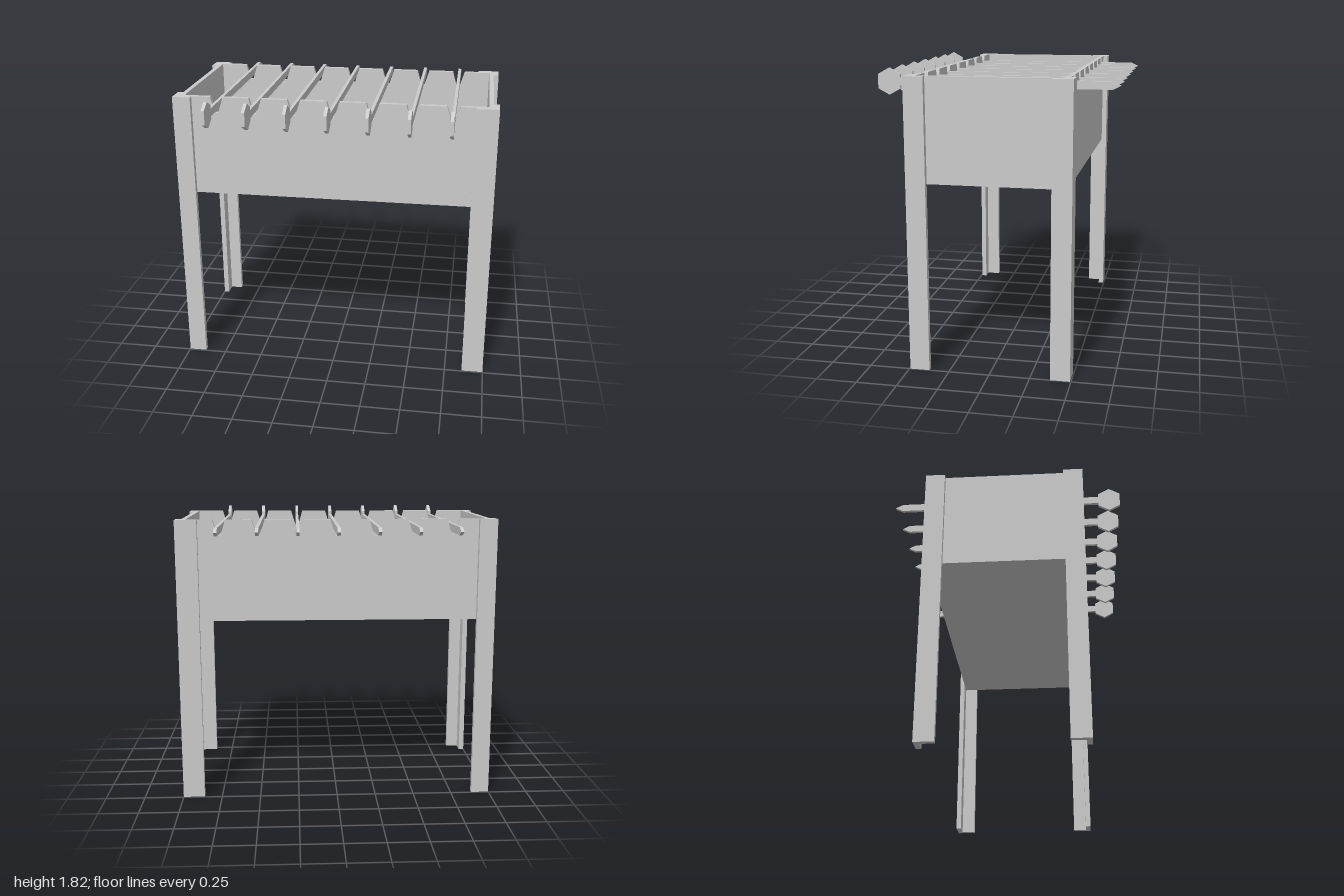
import * as THREE from 'three';

const material = new THREE.MeshStandardMaterial({ color: 0xcccccc, flatShading: true });
const TOP = 1.79, BOTTOM = 1.157;       // fire box height range
const OUT_X = 0.966, OUT_Z = 0.461;     // fire box outer half sizes
const WALL = 0.029;
const COUNT = 7;

function part(name, geometry, x = 0, y = 0, z = 0) {
  const mesh = new THREE.Mesh(geometry, material);
  mesh.name = name;
  mesh.position.set(x, y, z);
  return mesh;
}

function extrude(points, depth) {
  const shape = new THREE.Shape(points.map(([x, y]) => new THREE.Vector2(x, y)));
  return new THREE.ExtrudeGeometry(shape, { depth, bevelEnabled: false });
}

// Long wall with a row of V notches along its top edge
function notchedWall() {
  const points = [[-OUT_X, BOTTOM], [OUT_X, BOTTOM], [OUT_X, TOP]];
  for (let i = COUNT - 1; i >= 0; i--) {
    const x = -0.728 + i * 0.2432;
    points.push([x + 0.04, TOP], [x + 0.009, 1.69], [x - 0.011, 1.69], [x - 0.04, TOP]);
  }
  points.push([-OUT_X, TOP]);
  return extrude(points, WALL);
}

// Angle-iron leg wrapped around one corner of the box
function leg(sx, sz) {
  const innerX = sx > 0 ? 0.863 : 0.887;
  const outline = [
    [1, 0.494], [innerX, 0.494], [innerX, OUT_Z],
    [OUT_X, OUT_Z], [OUT_X, 0.373], [1, 0.373],
  ].map(([x, z]) => [sx * x, -sz * z]);
  return extrude(outline, TOP).rotateX(-Math.PI / 2);
}

// Flat skewer: hexagonal handle at the front, bar, pointed tip at the back
function skewer() {
  const width = 0.02;
  const outline = [
    [-0.733, 1.732], [-0.685, 1.708], [0.594, 1.708], [0.594, 1.69],
    [0.664, 1.652], [0.733, 1.69], [0.733, 1.776], [0.664, 1.815],
    [0.594, 1.776], [0.594, 1.756], [-0.685, 1.756],
  ];
  return extrude(outline, width).rotateY(-Math.PI / 2).translate(width / 2, 0, 0);
}

export function createModel() {
  const model = new THREE.Group();
  model.name = 'charcoalGrill';

  // Fire box
  const box = new THREE.Group();
  box.name = 'fireBox';
  const wall = notchedWall();
  box.add(part('frontWall', wall, 0, 0, OUT_Z - WALL));
  box.add(part('backWall', wall, 0, 0, -OUT_Z));
  const end = new THREE.BoxGeometry(WALL, TOP - BOTTOM, 2 * (OUT_Z - WALL));
  for (const [name, s] of [['leftWall', 1], ['rightWall', -1]]) {
    box.add(part(name, end, s * (OUT_X - WALL / 2), (TOP + BOTTOM) / 2, 0));
  }
  const floor = new THREE.BoxGeometry(2 * (OUT_X - WALL), WALL, 2 * (OUT_Z - WALL));
  box.add(part('floor', floor, 0, BOTTOM + WALL / 2, 0));
  model.add(box);

  // Legs
  for (const [side, sx] of [['Left', 1], ['Right', -1]]) {
    for (const [place, sz] of [['front', 1], ['back', -1]]) {
      model.add(part(`${place}${side}Leg`, leg(sx, sz)));
    }
  }

  // Skewers resting in the notches
  const skewers = new THREE.Group();
  skewers.name = 'skewers';
  const geometry = skewer();
  for (let i = 0; i < COUNT; i++) {
    skewers.add(part(`skewer${i + 1}`, geometry, -0.734 + i * 0.2444, 0, 0));
  }
  model.add(skewers);

  return model;
}
